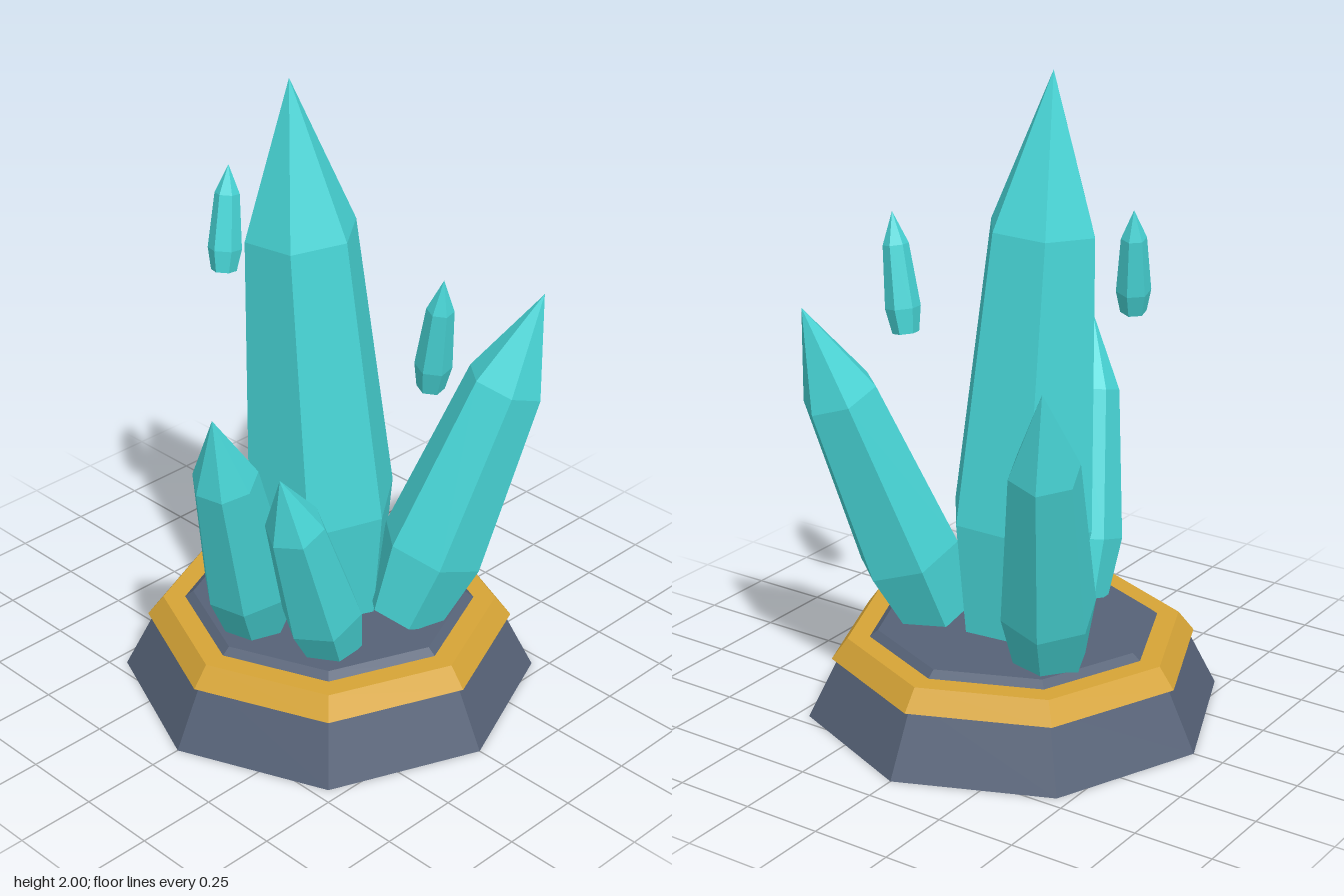
import * as THREE from 'three';

const flat = (name, color) => {
  const m = new THREE.MeshStandardMaterial({ color, flatShading: true });
  m.name = name;
  return m;
};

// Faceted solid turned from [radius, height] pairs, listed bottom to top
function faceted(name, pairs, sides, material) {
  const points = pairs.map(([r, y]) => new THREE.Vector2(r, y));
  const mesh = new THREE.Mesh(new THREE.LatheGeometry(points, sides), material);
  mesh.name = name;
  return mesh;
}

// Crystal from the centre of its foot to its tip; turn is the angle of one edge in degrees
function crystal(name, foot, tip, radius, turn, sides, material) {
  const start = new THREE.Vector3(...foot);
  const axis = new THREE.Vector3(...tip).sub(start);
  const length = axis.length();
  const mesh = faceted(name, [
    [0, 0],
    [radius * 0.75, 0],
    [radius, length * 0.21],
    [radius * 0.73, length * 0.73],
    [0, length],
  ], sides, material);
  mesh.geometry.rotateY(THREE.MathUtils.degToRad(90 - turn));
  mesh.quaternion.setFromUnitVectors(new THREE.Vector3(0, 1, 0), axis.normalize());
  mesh.position.copy(start);
  return mesh;
}

export function createModel() {
  const slate = flat('slate', 0x566277);
  const gold = flat('gold', 0xd6a436);
  const teal = flat('teal crystal', 0x48d6d7);

  const model = new THREE.Group();
  model.name = 'crystalCluster';

  // Octagonal pedestal with a gold band and a raised top
  const pedestal = new THREE.Group();
  pedestal.name = 'pedestal';
  pedestal.add(
    faceted('plinth', [[0, 0], [0.65, 0], [0.54, 0.22], [0, 0.22]], 8, slate),
    faceted('goldBand', [[0, 0.19], [0.575, 0.19], [0.525, 0.255], [0, 0.255]], 8, gold),
    faceted('topSlab', [[0, 0.24], [0.475, 0.24], [0.43, 0.275], [0, 0.275]], 8, slate),
  );
  model.add(pedestal);

  // Standing crystals, then the two floating shards
  const crystals = [
    ['mainCrystal', [0, 0.26, 0], [-0.08, 2, 0.08], 0.237, -6, 6],
    ['backRightCrystal', [-0.24, 0.26, -0.165], [-0.42, 1.24, -0.485], 0.147, 10, 6],
    ['backLeftCrystal', [0.24, 0.28, -0.09], [0.45, 1.325, -0.447], 0.165, 40, 6],
    ['frontRightCrystal', [-0.05, 0.27, 0.27], [0.063, 1.13, 0.53], 0.137, 49, 7],
    ['frontLeftCrystal', [0.205, 0.27, 0.19], [0.26, 0.985, 0.455], 0.125, 30, 6],
    ['rightFloatingShard', [-0.35, 1.315, 0.1], [-0.38, 1.635, 0.045], 0.052, 20, 6],
    ['leftFloatingShard', [0.385, 1.15, -0.03], [0.447, 1.52, -0.008], 0.055, 20, 6],
  ];
  for (const spec of crystals) model.add(crystal(...spec, teal));

  return model;
}
